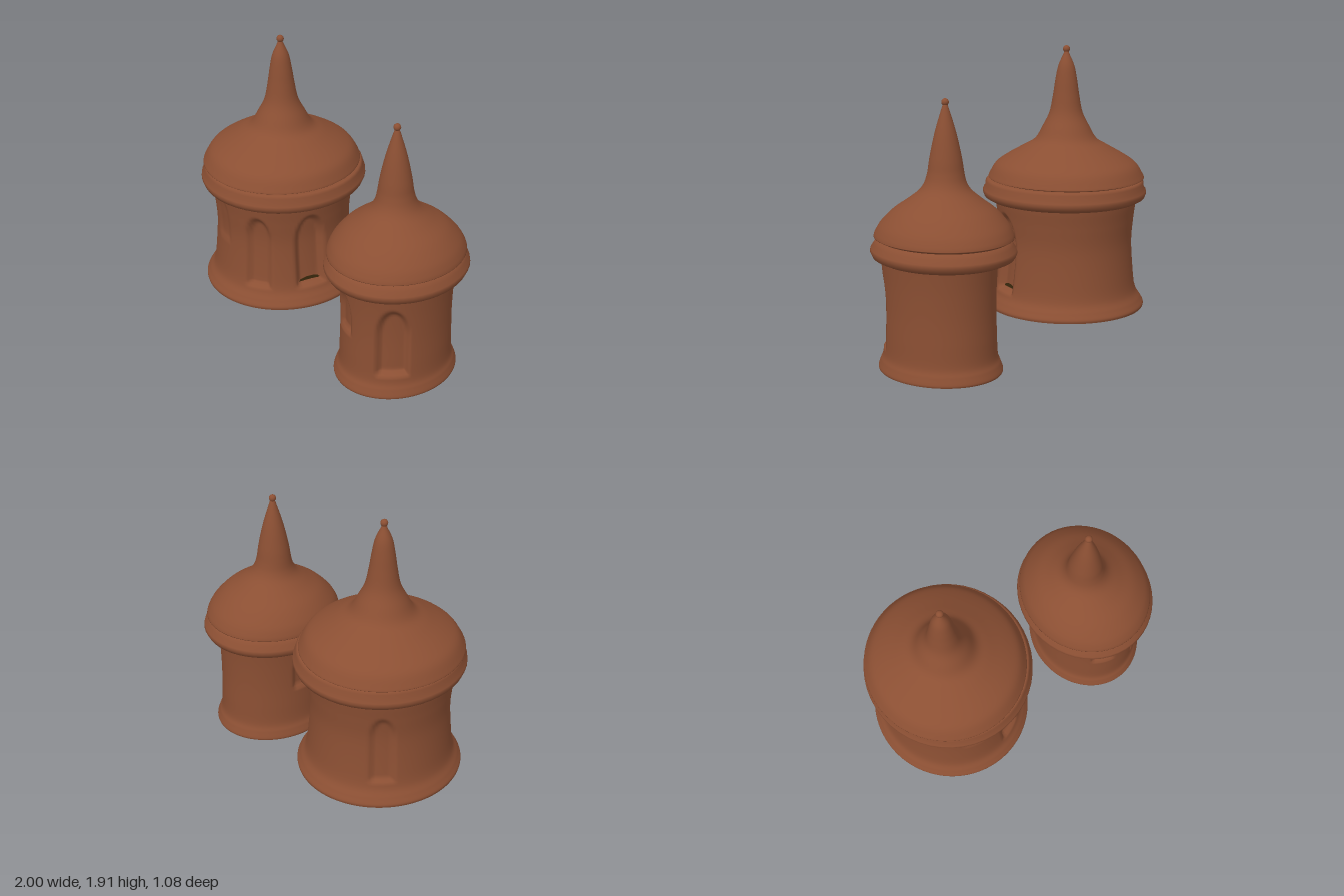
import * as THREE from 'three';
import { mergeVertices } from 'three/addons/utils/BufferGeometryUtils.js';

const clay = new THREE.MeshStandardMaterial({ color: 0x8b4f33 });
clay.name = 'clay';
const hollow = new THREE.MeshStandardMaterial({ color: 0x3c2b0e });
hollow.name = 'dark hollow';

const v2 = ([r, y]) => new THREE.Vector2(r, y);
const spline = (points, n) => new THREE.SplineCurve(points.map(v2)).getPoints(n);

// Turned part; move(p, angle) may shift each vertex. Profiles run bottom to top.
function turned(name, profile, segments, move) {
  const geometry = new THREE.LatheGeometry(profile, segments);
  const pos = geometry.attributes.position;
  const p = new THREE.Vector3();
  for (let i = 0; i < pos.count; i++) {
    p.fromBufferAttribute(pos, i);
    move(p, Math.atan2(p.x, p.z));
    pos.setXYZ(i, p.x, p.y, p.z);
  }
  geometry.deleteAttribute('uv');
  geometry.deleteAttribute('normal');
  const welded = mergeVertices(geometry, 1e-5);
  welded.computeVertexNormals();
  const mesh = new THREE.Mesh(welded, clay);
  mesh.name = name;
  return mesh;
}

// How far a point lies inside an arched niche, 0 to 1
function nicheMask(niche, angle, y, radius) {
  const turn = angle - THREE.MathUtils.degToRad(niche.angle);
  const u = Math.atan2(Math.sin(turn), Math.cos(turn)) * radius;
  const spring = niche.top - niche.width;
  const side = y > spring ? Math.hypot(u, (y - spring) / 2 * 2) : Math.abs(u);
  const inside = Math.min(niche.width / 2 - (y > spring ? Math.hypot(u, (y - spring) * 0.5) : side), y - niche.bottom);
  return THREE.MathUtils.smoothstep(inside, -0.008, 0.022);
}

function tower(name, t) {
  const group = new THREE.Group();
  group.name = name;

  // Wall with flared foot and arched niches pressed into it
  group.add(turned('wall', spline(t.wall, 70), 160, (p, angle) => {
    const radius = Math.hypot(p.x, p.z);
    let depth = 0;
    for (const n of t.niches) depth = Math.max(depth, n.depth * nicheMask(n, angle, p.y, radius));
    const k = (radius - depth) / radius;
    p.set(p.x * k + t.wallX, p.y, p.z * k * t.wallStretch + t.wallZ);
  }));

  // Dark underside
  const [footRadius, footY] = t.wall[0];
  const base = new THREE.Mesh(new THREE.CircleGeometry(footRadius, 64), hollow);
  base.name = 'underside';
  base.rotation.x = Math.PI / 2;
  base.scale.y = t.wallStretch;
  base.position.set(t.wallX, footY + 0.001, t.wallZ);
  group.add(base);

  // Rounded rim, tucked in below and above
  const rim = [[t.wall[1][0] * 0.7, t.rim[0][1]], ...t.rim, [t.rim[0][0] * 0.7, t.rim[t.rim.length - 1][1]]];
  group.add(turned('rim', rim.map(v2), 48, (p) => {
    p.set(p.x + t.rimX, p.y, p.z * t.rimStretch);
  }));

  // Bell roof running up into a spire that leans slightly
  const [edgeRadius, edgeY] = t.roof[0];
  const roof = [v2([edgeRadius * 0.75, edgeY - 0.02]), v2([edgeRadius * 0.94, edgeY - 0.02]),
    v2([edgeRadius * 0.95, edgeY]), ...spline(t.roof, 60)];
  const topY = t.roof[t.roof.length - 1][1];
  group.add(turned('roof', roof, 64, (p) => {
    const rise = Math.min(1, (p.y - edgeY) / (topY - edgeY) * 2);
    const stretch = THREE.MathUtils.lerp(t.rimStretch, 1, Math.max(0, rise));
    p.set(p.x + THREE.MathUtils.lerp(t.roofX, t.spireX, Math.max(0, rise)), p.y, p.z * stretch);
  }));

  // Small finial knob
  const knob = new THREE.Mesh(new THREE.SphereGeometry(0.023, 16, 12), clay);
  knob.name = 'finial';
  knob.position.set(t.spireX, topY + 0.012, 0);
  group.add(knob);

  // Dark openings worn through the niches
  for (const o of t.openings) {
    const a = THREE.MathUtils.degToRad(o.angle);
    const hole = new THREE.Mesh(new THREE.CircleGeometry(1, 10), hollow);
    hole.name = 'opening';
    hole.scale.set(o.width / 2, o.height / 2, 1);
    hole.position.set(t.wallX + Math.sin(a) * o.radius, o.y, t.wallZ + Math.cos(a) * o.radius * t.wallStretch);
    hole.rotation.y = a;
    group.add(hole);
  }
  return group;
}

export function createModel() {
  const model = new THREE.Group();
  model.name = 'twin towers with spires';

  model.add(tower('large tower', {
    wallX: -0.487, wallZ: 0, wallStretch: 1.03, rimX: -0.475, rimStretch: 1.03, roofX: -0.49, spireX: -0.485,
    wall: [[0.508, 0.215], [0.51, 0.235], [0.49, 0.27], [0.458, 0.33], [0.441, 0.45], [0.428, 0.65],
      [0.438, 0.8], [0.45, 0.9], [0.455, 0.96]],
    rim: [[0.44, 0.92], [0.49, 0.93], [0.515, 0.945], [0.525, 0.97], [0.523, 0.99], [0.508, 1.01],
      [0.507, 1.04], [0.495, 1.055], [0.46, 1.058]],
    roof: [[0.5, 1.067], [0.493, 1.085], [0.455, 1.15], [0.39, 1.2], [0.28, 1.265], [0.2, 1.315],
      [0.15, 1.4], [0.107, 1.49], [0.085, 1.6], [0.07, 1.7], [0.052, 1.79], [0.022, 1.86], [0.012, 1.885]],
    niches: [
      { angle: 28, bottom: 0.34, top: 0.84, width: 0.16, depth: 0.035 },
      { angle: 73, bottom: 0.34, top: 0.85, width: 0.19, depth: 0.05 },
      { angle: -12, bottom: 0.6, top: 0.92, width: 0.14, depth: 0.01 },
      { angle: -130, bottom: 0.36, top: 0.82, width: 0.15, depth: 0.025 },
    ],
    openings: [{ angle: 73, y: 0.36, radius: 0.404, width: 0.15, height: 0.05 }],
  }));

  model.add(tower('small tower', {
    wallX: 0.59, wallZ: 0.015, wallStretch: 1.15, rimX: 0.57, rimStretch: 1.1, roofX: 0.565, spireX: 0.545,
    wall: [[0.358, 0.005], [0.36, 0.02], [0.347, 0.06], [0.33, 0.115], [0.325, 0.25], [0.322, 0.4],
      [0.325, 0.55], [0.333, 0.68], [0.34, 0.75]],
    rim: [[0.33, 0.7], [0.385, 0.705], [0.415, 0.72], [0.429, 0.75], [0.425, 0.77], [0.405, 0.8],
      [0.395, 0.825], [0.37, 0.835]],
    roof: [[0.41, 0.842], [0.403, 0.87], [0.375, 0.925], [0.31, 1.0], [0.225, 1.065], [0.16, 1.12],
      [0.128, 1.17], [0.112, 1.23], [0.1, 1.31], [0.08, 1.41], [0.058, 1.5], [0.025, 1.61], [0.013, 1.645]],
    niches: [
      { angle: -18, bottom: 0.38, top: 0.65, width: 0.15, depth: 0.025 },
      { angle: 45, bottom: 0.15, top: 0.62, width: 0.19, depth: 0.04 },
      { angle: -90, bottom: 0.36, top: 0.64, width: 0.15, depth: 0.025 },
    ],
    openings: [{ angle: -90, y: 0.46, radius: 0.302, width: 0.08, height: 0.12 }],
  }));
  return model;
}
